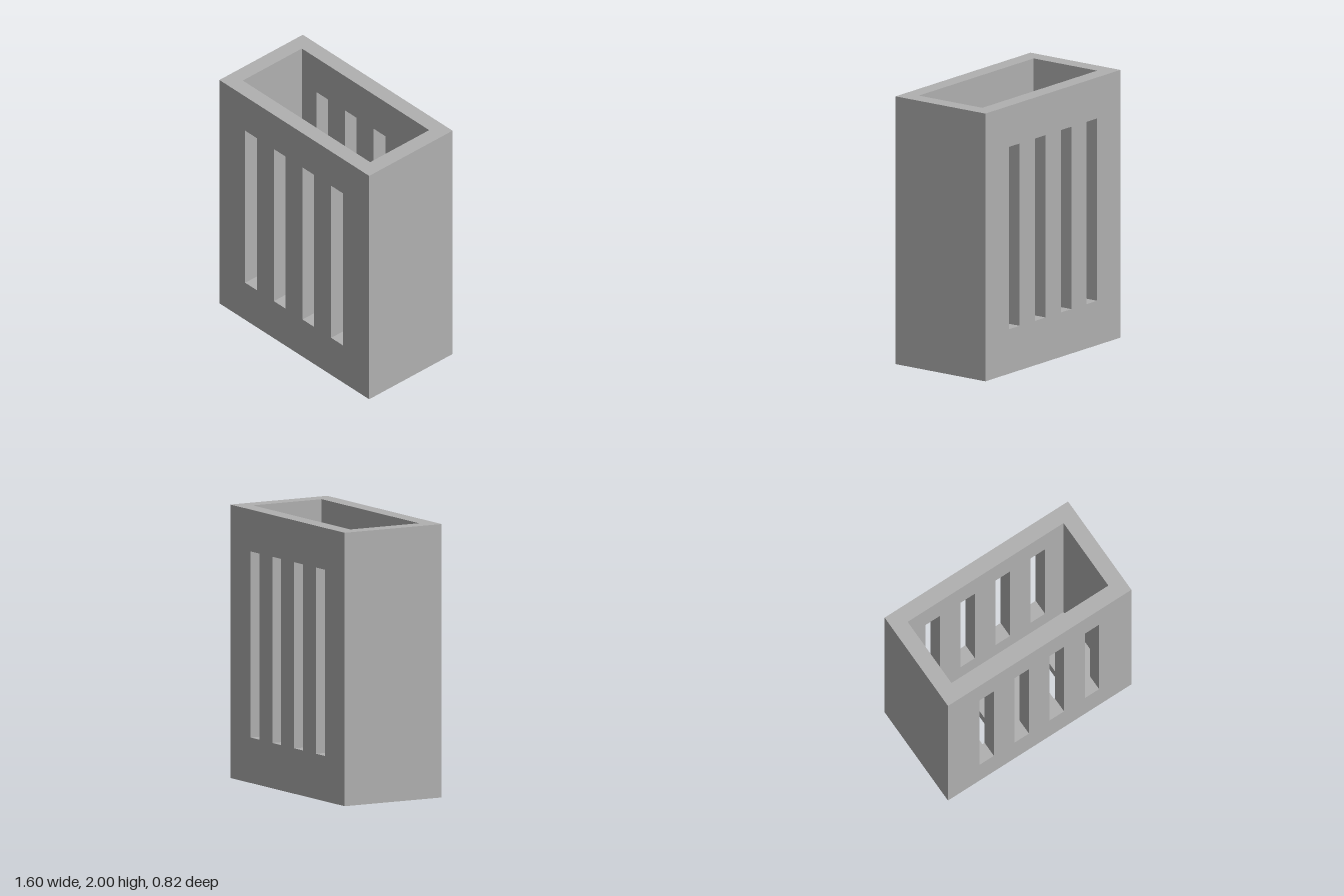
import * as THREE from 'three';

const W = 1.6, H = 2, D = 0.82, T = 0.12; // outer size and wall thickness

// Rectangle outline centred on (cx, cy)
function rect(target, cx, cy, w, h) {
  const x = w / 2, y = h / 2;
  target.moveTo(cx - x, cy - y);
  target.lineTo(cx + x, cy - y);
  target.lineTo(cx + x, cy + y);
  target.lineTo(cx - x, cy + y);
  target.closePath();
  return target;
}

// Flat panel of thickness T with rectangular slots cut through it
function slottedPanel(w, h, slots) {
  const shape = rect(new THREE.Shape(), 0, 0, w, h);
  for (const s of slots) shape.holes.push(rect(new THREE.Path(), ...s));
  const geo = new THREE.ExtrudeGeometry(shape, { depth: T, bevelEnabled: false });
  return geo.translate(0, 0, -T / 2);
}

export function createModel() {
  const model = new THREE.Group();
  model.name = 'slottedBox';
  const grey = new THREE.MeshStandardMaterial({ color: 0xb0b0b0 });
  grey.name = 'grey';

  function add(name, geo, x, y, z) {
    const mesh = new THREE.Mesh(geo, grey);
    mesh.name = name;
    mesh.position.set(x, y, z);
    model.add(mesh);
    return mesh;
  }

  // Front and back walls, each with four tall slots
  const wallSlots = [-1.5, -0.5, 0.5, 1.5].map((i) => [-0.003 + i * 0.306, 0.013, 0.125, 1.362]);
  const wall = slottedPanel(W, H, wallSlots);
  add('frontWall', wall, 0, H / 2, (D - T) / 2);
  add('backWall', wall, 0, H / 2, -(D - T) / 2);

  // Plain side walls
  const side = new THREE.BoxGeometry(T, H, D - 2 * T);
  add('leftWall', side, (W - T) / 2, H / 2, 0);
  add('rightWall', side, -(W - T) / 2, H / 2, 0);

  // Floor with two slots running front to back
  const floorSlots = [-0.313, 0.311].map((x) => [x, 0.002, 0.125, 0.465]);
  const floor = slottedPanel(W - 2 * T, D - 2 * T, floorSlots);
  add('floor', floor, 0, T / 2, 0).rotation.x = -Math.PI / 2;

  return model;
}
